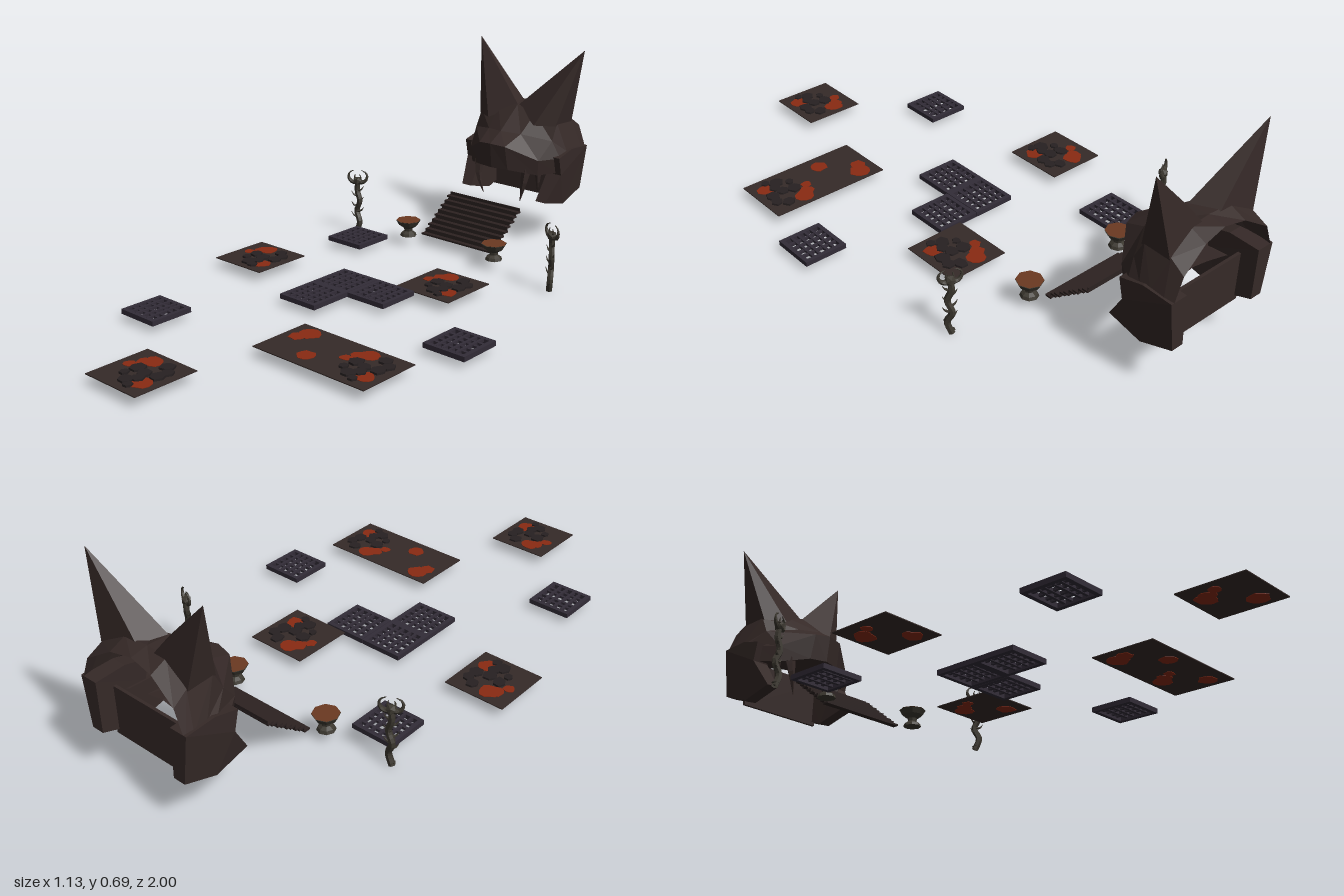
import * as THREE from 'three';

const material = (name, color, flatShading = true) => {
  const m = new THREE.MeshStandardMaterial({ color, flatShading, side: THREE.DoubleSide });
  m.name = name;
  return m;
};
let seed = 7;
const rand = () => (seed = (seed * 16807) % 2147483647) / 2147483647;

export function createModel() {
  const mats = {
    hide: material('dark hide', 0x352927),
    wood: material('stair wood', 0x2c2221),
    slab: material('scorched slab', 0x352a28),
    stone: material('basalt', 0x272122),
    lava: material('lava red', 0x8a2a12),
    iron: material('grate iron', 0x322c37),
    bone: material('staff horn', 0x3b372f),
    ember: material('ember brown', 0x6b3a22),
  };
  const root = new THREE.Group();
  const group = (name, parent = root) => {
    const g = new THREE.Group();
    g.name = name;
    parent.add(g);
    return g;
  };
  const add = (parent, name, geo, mat, x = 0, y = 0, z = 0) => {
    const m = new THREE.Mesh(geo, mat);
    m.name = name;
    m.position.set(x, y, z);
    parent.add(m);
    return m;
  };
  // Skin joining rows that all have the same number of points
  const loft = (rows) => {
    const n = rows[0].length, index = [];
    for (let i = 0; i < rows.length - 1; i++)
      for (let j = 0; j < n - 1; j++) {
        const a = i * n + j, b = a + n;
        index.push(a, a + 1, b, a + 1, b + 1, b);
      }
    const g = new THREE.BufferGeometry();
    g.setAttribute('position', new THREE.Float32BufferAttribute(rows.flat(2), 3));
    g.setIndex(index);
    g.computeVertexNormals();
    return g;
  };
  // Tube along a curve whose radius runs from r0 to r1
  const taperedTube = (points, r0, r1, segs = 10, sides = 6) => {
    const curve = new THREE.CatmullRomCurve3(points.map((p) => new THREE.Vector3(...p)));
    const g = new THREE.TubeGeometry(curve, segs, 1, sides);
    const p = g.attributes.position, v = new THREE.Vector3();
    for (let i = 0; i < p.count; i++) {
      const t = Math.floor(i / (sides + 1)) / segs, c = curve.getPointAt(t);
      v.fromBufferAttribute(p, i).sub(c).multiplyScalar(r0 + (r1 - r0) * t).add(c);
      p.setXYZ(i, v.x, v.y, v.z);
    }
    g.computeVertexNormals();
    return g;
  };

  // Beast head gate: half rows run from the centre line out to the side
  const head = group('beastHead');
  head.position.x = -0.043;
  const halfRows = [
    [[0, .29, -.90], [.06, .28, -.90], [.14, .26, -.90], [.19, .26, -.93]],
    [[0, .27, -.70], [.06, .268, -.715], [.145, .25, -.78], [.19, .255, -.84]],
    [[0, .36, -.688], [.055, .355, -.70], [.15, .305, -.775], [.198, .31, -.84]],
    [[0, .395, -.75], [.07, .39, -.775], [.168, .37, -.83], [.198, .33, -.88]],
    [[0, .475, -.85], [.08, .455, -.845], [.166, .43, -.86], [.2, .33, -.92]],
    [[0, .48, -.93], [.08, .48, -.935], [.166, .43, -.95], [.205, .32, -.97]],
    [[0, .47, -.985], [.08, .455, -.99], [.17, .4, -1], [.205, .31, -1]],
  ];
  const mirrorRow = (row) => [...row.slice(1).reverse().map(([x, y, z]) => [-x, y, z]), ...row];
  add(head, 'skull', loft(halfRows.map(mirrorRow)), mats.hide);
  add(head, 'throatWall', new THREE.BoxGeometry(.31, .16, .01), mats.hide, 0, .21, -.94);

  for (const s of [1, -1]) {
    const side = group(s > 0 ? 'leftHeadSide' : 'rightHeadSide', head);
    side.scale.x = s;
    // Ear: tall leaning pyramid
    const tip = [.225, .69, -.925];
    const base = [[0, .472, -.855], [.1, .42, -.81], [.166, .42, -.85], [.168, .42, -.95], [.03, .47, -.94]];
    base.push(base[0]);
    add(side, 'ear', loft([base, base.map(() => tip)]), mats.hide);
    // Jaw: side profile with its lower edge drawn inward
    const shape = new THREE.Shape([[-.82, .315], [-.835, .25], [-.775, .155], [-.89, .127], [-1, .165], [-1, .33], [-.9, .335]]
      .map(([z, y]) => new THREE.Vector2(-z, y)));
    const jaw = new THREE.ExtrudeGeometry(shape, { depth: .06, bevelEnabled: false });
    jaw.rotateY(Math.PI / 2);
    const p = jaw.attributes.position;
    for (let i = 0; i < p.count; i++)
      if (p.getY(i) < .18) p.setX(i, p.getX(i) * .7 - .004);
    jaw.computeVertexNormals();
    add(side, 'jaw', jaw, mats.hide, .148);
    // Fangs
    add(side, 'fang', taperedTube([[.105, .27, -.77], [.1, .21, -.76], [.082, .145, -.768]], .02, .001, 5, 5), mats.hide);
    add(side, 'smallFang', taperedTube([[.135, .26, -.8], [.135, .215, -.8], [.128, .18, -.81]], .014, .001, 4, 5), mats.hide);
  }

  // Stairs: overlapping thin treads and risers
  const stairs = group('stairs');
  const steps = 9;
  for (let i = 0; i < steps; i++) {
    const y = .035 + i * .0135, z = -.51 - i * .018;
    const w = .312 - (i % 2) * .006;
    add(stairs, 'tread', new THREE.BoxGeometry(w, .006, .022), mats.wood, -.042, y, z);
    add(stairs, 'riser', new THREE.BoxGeometry(w - .006, .015, .003), mats.wood, -.042, y + .006, z - .009);
  }

  // Braziers
  for (const x of [-.232, .147]) {
    const brazier = group('brazier');
    brazier.position.set(x, .03, -.465);
    const profile = [[0, 0], [.03, 0], [.026, .01], [.014, .018], [.016, .028], [.034, .04], [.044, .057], [.037, .057]];
    add(brazier, 'bowl', new THREE.LatheGeometry(profile.map((q) => new THREE.Vector2(...q)), 8), mats.bone);
    add(brazier, 'embers', new THREE.CylinderGeometry(.043, .034, .005, 8), mats.ember, 0, .056, 0);
  }

  // Twisted staffs with a horned head
  for (const [x, z, turn, h] of [[-.455, -.44, .5, 1], [.41, -.415, -.4, .965]]) {
    const staff = group('staff');
    staff.position.set(x, 0, z);
    staff.rotation.y = turn;
    staff.scale.y = h;
    add(staff, 'shaft', taperedTube([[-.004, 0, 0], [.008, .04, .006], [-.005, .08, -.005], [.008, .12, .004], [-.003, .16, -.003], [0, .195, 0]], .011, .010, 18), mats.bone);
    add(staff, 'shaftTip', new THREE.ConeGeometry(.011, .012, 6).rotateX(Math.PI), mats.bone, -.004, .006, 0);
    add(staff, 'knot', new THREE.IcosahedronGeometry(.017, 0), mats.bone, 0, .196, 0);
    for (const s of [1, -1]) {
      add(staff, 'horn', taperedTube([[0, .19, 0], [s * .025, .194, 0], [s * .035, .212, 0], [s * .03, .227, 0], [s * .014, .236, 0]], .01, .001), mats.bone);
      add(staff, 'innerHorn', taperedTube([[0, .195, 0], [s * .012, .208, .004], [s * .008, .222, .004]], .007, .001, 4, 5), mats.bone);
    }
    for (let i = 0; i < 6; i++) {
      const s = i % 2 ? 1 : -1, y = .06 + i * .02;
      add(staff, 'thorn', taperedTube([[0, y, 0], [s * .014, y + .004, .003], [s * .023, y + .018, .004]], .006, .0005, 4, 5), mats.bone);
    }
  }

  // Iron grates: frame with uneven crossed bars
  const bar = (g, w, h, d, x, y, z) => add(g, 'bar', new THREE.BoxGeometry(w, h, d), mats.iron, x, y, z);
  for (const [x, z] of [[-.353, -.328], [-.087, .026], [.065, .026], [-.087, .175], [.487, .165], [-.36, .585]]) {
    const grate = group('grate');
    grate.position.set(x, .028, z);
    for (const s of [1, -1]) {
      bar(grate, .15, .016, .014, 0, 0, s * .068);
      bar(grate, .014, .016, .122, s * .068, 0, 0);
    }
    for (let i = -1.5; i < 2; i++) {
      bar(grate, .13, .009, .009, 0, .002, i * .0255 + (rand() - .5) * .006).rotation.y = (rand() - .5) * .07;
      bar(grate, .009, .009, .13, i * .0255 + (rand() - .5) * .006, .004, 0).rotation.y = (rand() - .5) * .07;
    }
  }

  // Lava slabs: thin plate, molten patches on both faces, loose stones on top
  const blob = (r, depth, n) => {
    const pts = [];
    for (let i = 0; i < n; i++) {
      const a = (i / n) * Math.PI * 2, q = r * (.85 + rand() * .3);
      pts.push(new THREE.Vector2(Math.cos(a) * q, Math.sin(a) * q));
    }
    return new THREE.ExtrudeGeometry(new THREE.Shape(pts), { depth, bevelEnabled: false }).rotateX(-Math.PI / 2);
  };
  const patches = [[-.025, -.063, .031], [-.045, -.045, .025], [-.066, -.012, .018], [.055, .045, .031]];
  const stones = [[.036, -.062, .022], [.066, -.04, .02], [-.024, -.006, .024], [.018, .004, .022], [.062, -.006, .024], [-.03, .035, .014], [.008, .06, .024], [.028, .035, .02], [.04, .076, .016]];
  const slab = (x, z, w, dx = 0, extra = []) => {
    const g = group('lavaSlab');
    g.position.set(x, .031, z);
    add(g, 'plate', new THREE.BoxGeometry(w, .003, .214), mats.slab);
    for (const [px, pz, r] of [...patches.map(([a, b, r]) => [a + dx, b, r]), ...extra])
      add(g, 'lavaPatch', blob(r, .006, 11), mats.lava, px, -.003, pz);
    for (const [px, pz, r] of stones)
      add(g, 'stone', blob(r, .007, 6), mats.stone, px + dx, .001, pz);
  };
  slab(.169, -.158, .214);
  slab(-.462, .05, .214);
  slab(.272, .468, .426, .106, [[-.148, -.06, .034], [-.165, -.025, .025], [-.055, .05, .027]]);
  slab(-.042, .893, .214);

  return root;
}
